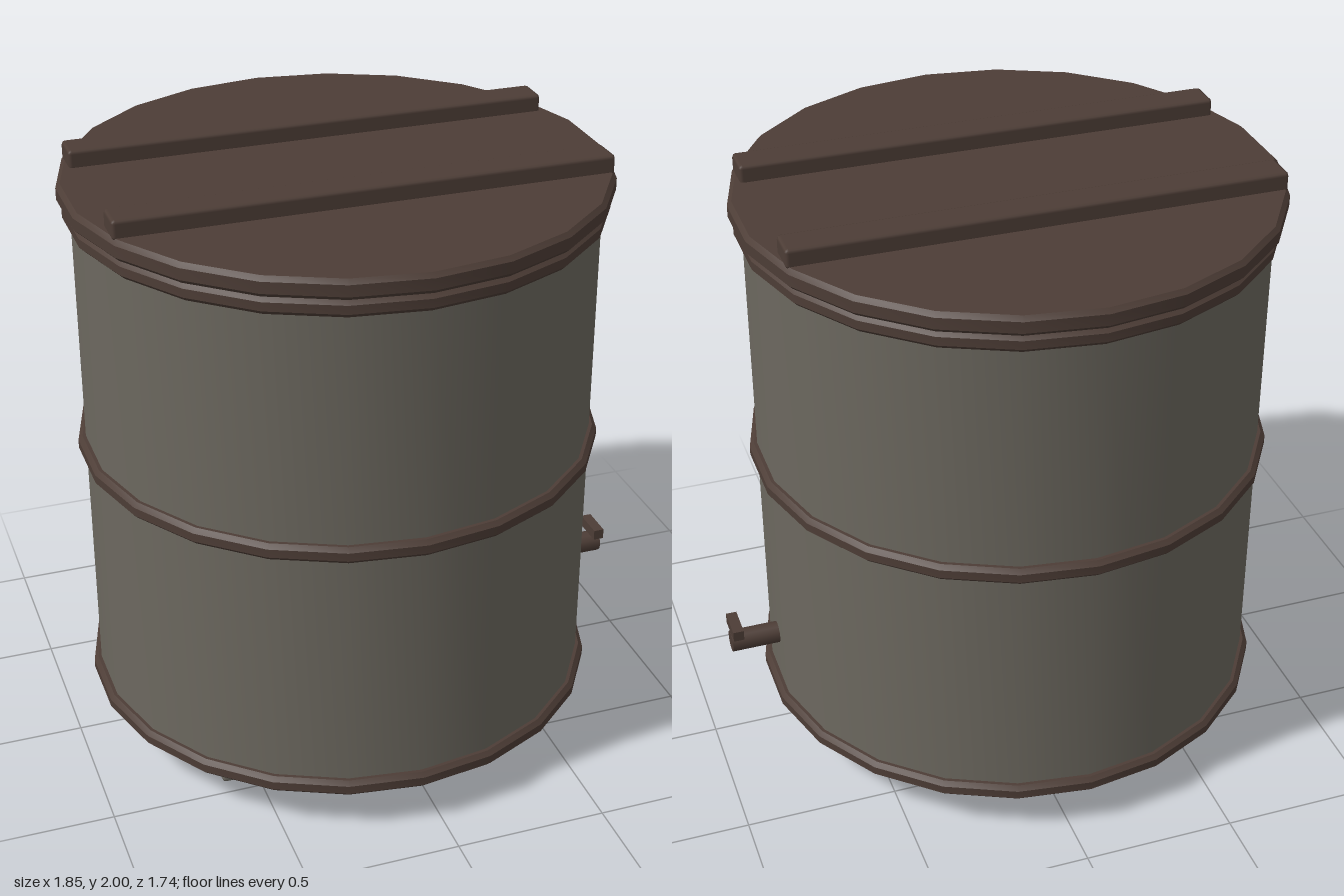
import * as THREE from 'three';
import { toCreasedNormals } from 'three/addons/utils/BufferGeometryUtils.js';
import { RoundedBoxGeometry } from 'three/addons/geometries/RoundedBoxGeometry.js';

const SIDES = 22;
const CX = -0.065; // drum axis, shifted to balance the spout

export function createModel() {
  const group = new THREE.Group();
  const material = (name, color) => {
    const m = new THREE.MeshStandardMaterial({ color });
    m.name = name;
    return m;
  };
  const steel = material('weathered steel', 0x6c685f);
  const rust = material('rusty brown', 0x4d3d36);

  const add = (name, geometry, mat, x, y, z) => {
    const mesh = new THREE.Mesh(geometry, mat);
    mesh.name = name;
    mesh.position.set(x, y, z);
    group.add(mesh);
    return mesh;
  };

  // Turned part: smooth around the drum, crisp across the profile
  const turned = (name, profile, mat) => {
    const points = profile.map(([r, y]) => new THREE.Vector2(r, y));
    return add(name, toCreasedNormals(new THREE.LatheGeometry(points, SIDES), 0.6), mat, CX, 0, 0);
  };

  // Drum shell with closed ends
  turned('drumBody', [[0, 0.139], [0.831, 0.139], [0.831, 1.86], [0, 1.86]], steel);

  // Hoops with bevelled edges
  const hoop = (name, y0, y1) => {
    const R = 0.856, b = 0.014;
    turned(name, [[0.82, y0], [R - b, y0], [R, y0 + b], [R, y1 - b], [R - b, y1], [0.82, y1]], rust);
  };
  hoop('bottomHoop', 0.14, 0.196);
  hoop('middleHoop', 1.01, 1.066);
  hoop('topHoop', 1.82, 1.876);

  // Lid and its two battens
  turned('lid', [[0, 1.88], [0.856, 1.88], [0.87, 1.894], [0.87, 1.931], [0.856, 1.945], [0, 1.945]], rust);
  for (const s of [-1, 1]) {
    add(s > 0 ? 'frontBatten' : 'backBatten',
      new RoundedBoxGeometry(1.586, 0.065, 0.112, 1, 0.012), rust, CX, 1.9675, s * 0.29);
  }

  // Spout and tap handle
  const pipe = new THREE.CylinderGeometry(0.037, 0.037, 0.22, 12);
  pipe.rotateZ(-Math.PI / 2);
  add('spout', pipe, rust, 0.81, 0.37, 0);
  add('tapHandle', new THREE.BoxGeometry(0.036, 0.036, 0.112), rust, 0.902, 0.427, 0);

  // Irregular flat rust stain
  const stain = (w, h, seed) => {
    const pts = [];
    for (let i = 0; i < 9; i++) {
      const a = (i / 9) * Math.PI * 2;
      const k = 0.85 + 0.15 * Math.sin(i * 2.3 + seed * 1.7);
      pts.push(new THREE.Vector2(Math.cos(a) * w * k / 2, Math.sin(a) * h * k / 2));
    }
    const shape = new THREE.Shape();
    shape.moveTo(pts[8].x, pts[8].y);
    shape.splineThru(pts);
    return new THREE.ShapeGeometry(shape, 3);
  };

  // Four feet with rust stains on their faces
  const W = 0.416, D = 0.21;
  for (const sx of [-1, 1]) {
    for (const sz of [-1, 1]) {
      const x = CX + sx * 0.348, z = sz * 0.349;
      add('foot', new RoundedBoxGeometry(W, 0.15, D, 1, 0.014), steel, x, 0.075, z);
      // [offset x, y, width, height] on the long faces
      const marks = sx < 0
        ? [[-0.148, 0.045, 0.09, 0.075], [0.168, 0.095, 0.07, 0.08]]
        : [[-0.178, 0.07, 0.04, 0.11], [-0.045, 0.09, 0.1, 0.08]];
      for (const face of [-1, 1]) {
        marks.forEach(([dx, y, w, h], i) => {
          const m = add('footStain', stain(w, h, i + sx), rust,
            x + face * dx, y, z + face * (D / 2 + 0.002));
          if (face < 0) m.rotation.y = Math.PI;
        });
        if (sz < 0) {
          const side = add('footSideStain', stain(0.1, 0.08, 2), rust,
            x + face * (W / 2 + 0.002), 0.095, z + 0.035);
          side.rotation.y = face * Math.PI / 2;
        }
      }
      const under = add('footBottomStain', stain(0.09, 0.07, sx + sz), rust,
        x + sx * 0.12, -0.001, z - 0.05);
      under.rotation.x = Math.PI / 2;
    }
  }
  return group;
}
